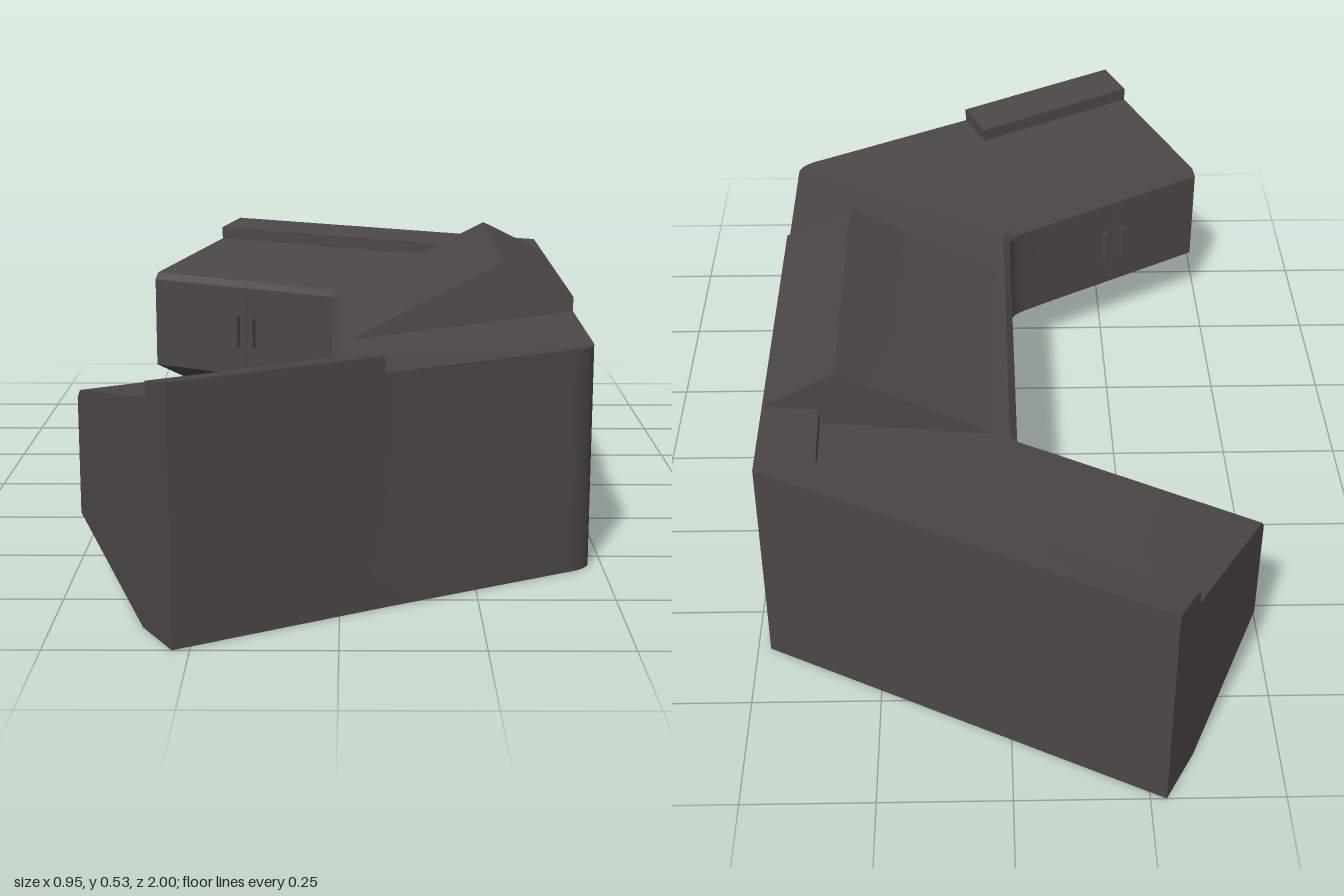
import * as THREE from 'three';
import { toCreasedNormals } from 'three/addons/utils/BufferGeometryUtils.js';

// Cross-sections as [t, y]: t runs from the outer edge (0) to the inner edge (1).
const foot = [[0, 0], [0, 0.06], [0, 0.43]];
const front = [[0.97, 0.366], [1, 0.35], [1, 0.13], [0.3, 0]];
const lip = [...foot, [0, 0.46], [0.22, 0.445], [0.22, 0.415], ...front];
const plain = [...foot, [0, 0.43], [0.22, 0.415], [0.22, 0.415], ...front];
const ridge = [...foot, [0, 0.46], [0.286, 0.53], [0.92, 0.371], ...front];

// Stations along the desk: outer (x, z), inner (x, z), section, and whether the back is open after it.
function makeStations() {
  const list = [];
  const add = (ox, oz, ix, iz, section, open = false) => list.push({ ox, oz, ix, iz, section, open });
  add(-0.28, -1, -0.475, -0.65, lip);
  add(0.475, -0.605, -0.035, -0.405, lip, true);
  add(0.475, -0.41, -0.02, -0.39, lip, true);
  add(0.475, -0.41, -0.02, -0.39, ridge, true);
  add(0.475, 0.21, -0.02, 0.21, ridge, true);
  add(0.475, 0.21, -0.02, 0.21, plain, true);
  // rounded corner
  const curve = (...p) => new THREE.QuadraticBezierCurve(...p.map(([x, y]) => new THREE.Vector2(x, y)));
  const outer = curve([0.475, 0.54], [0.475, 0.575], [0.42, 0.6]);
  const inner = curve([-0.02, 0.33], [-0.02, 0.367], [-0.06, 0.39]);
  for (let i = 0; i <= 6; i++) {
    const o = outer.getPoint(i / 6), n = inner.getPoint(i / 6);
    add(o.x, o.y, n.x, n.y, plain);
  }
  add(0.08, 0.79, -0.125, 0.43, plain);
  add(0.08, 0.79, -0.125, 0.43, lip);
  add(-0.28, 1, -0.48, 0.64, lip);
  return list;
}

function makeShell() {
  const stations = makeStations();
  const rings = stations.map((s) => s.section.map(([t, y]) =>
    new THREE.Vector3(s.ox + (s.ix - s.ox) * t, y, s.oz + (s.iz - s.oz) * t)));
  const positions = [];
  const tri = (a, b, c) => {
    if (new THREE.Triangle(a, b, c).getArea() > 1e-7) {
      for (const v of [a, b, c]) positions.push(v.x, v.y, v.z);
    }
  };
  const n = lip.length;
  for (let s = 0; s < rings.length - 1; s++) {
    const { open, section } = stations[s];
    for (let p = 0; p < n; p++) {
      // leave the back of the middle part open
      if (open && (p === 1 || (p === 2 && section === ridge))) continue;
      const q = (p + 1) % n;
      const a = rings[s][p], b = rings[s][q], c = rings[s + 1][p], d = rings[s + 1][q];
      tri(a, b, d);
      tri(a, d, c);
    }
  }
  // end panels
  const faces = THREE.ShapeUtils.triangulateShape(lip.map(([t, y]) => new THREE.Vector2(t, y)), []);
  const first = rings[0], last = rings[rings.length - 1];
  const c = new THREE.Vector3();
  for (const [i, j, k] of faces) {
    for (const [ring, sign] of [[first, -1], [last, 1]]) {
      new THREE.Triangle(ring[i], ring[j], ring[k]).getNormal(c);
      if (c.z * sign > 0) tri(ring[i], ring[j], ring[k]);
      else tri(ring[i], ring[k], ring[j]);
    }
  }
  const geometry = new THREE.BufferGeometry();
  geometry.setAttribute('position', new THREE.Float32BufferAttribute(positions, 3));
  return toCreasedNormals(geometry, 0.4);
}

export function createModel() {
  const model = new THREE.Group();
  model.name = 'cornerDesk';
  const body = new THREE.MeshStandardMaterial({ color: 0x4b4745, side: THREE.DoubleSide });
  body.name = 'darkGrey';

  const shell = new THREE.Mesh(makeShell(), body);
  shell.name = 'deskShell';
  model.add(shell);

  // Cupboard handles and door seams on the inner faces of both wings
  const wings = [
    { from: [-0.035, -0.405], to: [-0.475, -0.65], handles: [0.42, 0.51] },
    { from: [-0.06, 0.39], to: [-0.48, 0.64], handles: [0.46, 0.56] },
  ];
  for (const { from, to, handles } of wings) {
    const dx = to[0] - from[0], dz = to[1] - from[1];
    const bar = (name, f, y, w, h, d) => {
      const mesh = new THREE.Mesh(new THREE.BoxGeometry(w, h, d), body);
      mesh.name = name;
      mesh.position.set(from[0] + dx * f, y, from[1] + dz * f);
      mesh.rotation.y = Math.atan2(-dz, dx);
      model.add(mesh);
    };
    for (const f of handles) bar('handle', f, 0.24, 0.01, 0.075, 0.026);
    bar('doorSeam', (handles[0] + handles[1]) / 2, 0.24, 0.003, 0.21, 0.004);
  }
  return model;
}
